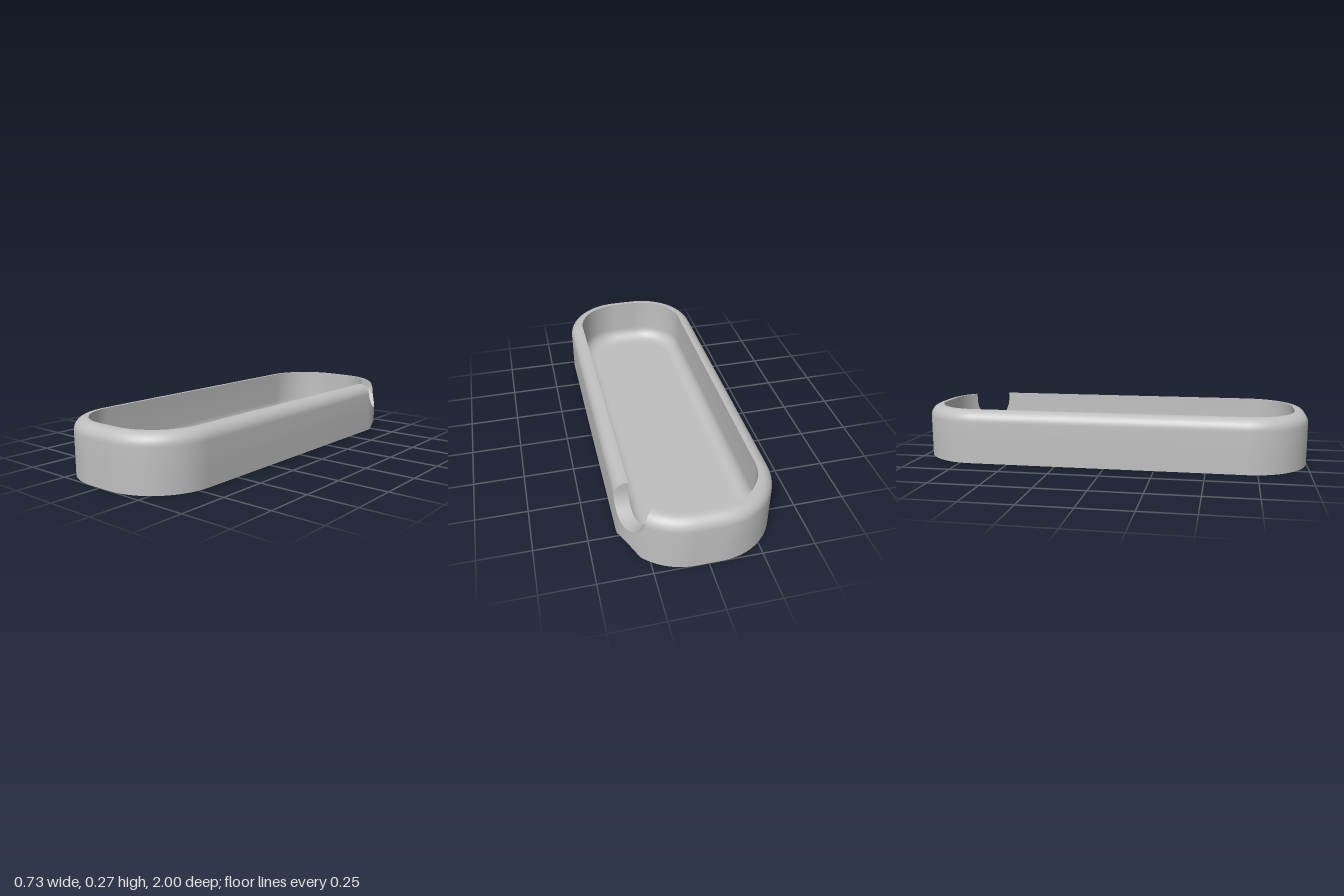
import * as THREE from 'three';
import { toCreasedNormals } from 'three/addons/utils/BufferGeometryUtils.js';

const HEIGHT = 0.27, RADIUS = 0.305, CX = 0.06, CZ = 0.695;
const WALL = 0.068, FLOOR = 0.025, RIM = 0.058, COVE = 0.07;
const NOTCH = 24, NOTCH_HALF = 23, ARCH_HALF = 17;

// Stations around the rounded outline: corner number and angle in degrees.
function outlineStations() {
  const stations = [];
  const add = (corner, a) => stations.push({ corner, a });
  add(0, 0);
  add(0, NOTCH - NOTCH_HALF - 0.1);
  for (let i = 0; i <= 32; i++) add(0, NOTCH - NOTCH_HALF * Math.cos(Math.PI * i / 32));
  add(0, NOTCH + NOTCH_HALF + 0.1);
  for (let a = 51; a <= 90; a += 3) add(0, a);
  for (let corner = 1; corner < 4; corner++) {
    for (let a = 0; a <= 90; a += 3) add(corner, corner * 90 + a);
  }
  return stations;
}

// Height of the wall top, cut by the round notch in the back left corner.
function topLimit(a) {
  const s = (a - NOTCH) / NOTCH_HALF;
  return Math.abs(s) > 1.0001 ? HEIGHT : 0.24 - 0.12 * Math.sqrt(Math.max(0, 1 - s * s));
}

// Height of the shallow finger arch under the same corner.
function archHeight(a) {
  const s = (a - NOTCH - 0.5) / ARCH_HALF;
  return 0.032 * Math.max(0, 1 - s * s);
}

// Wall section as [inward offset, height], from the underside over the rim to the floor.
function section(a) {
  const top = topLimit(a), arch = archHeight(a);
  const pts = [[0.09, 0], [0.06, 0], [0.06, arch], [0, arch], [0, 0.1]];
  for (let i = 0; i <= 8; i++) {
    const t = i / 8 * Math.PI / 2;
    pts.push([RIM * (1 - Math.cos(t)), HEIGHT - RIM + RIM * Math.sin(t)]);
  }
  pts.push([WALL, HEIGHT]);
  for (let i = 0; i <= 8; i++) {
    const t = i / 8 * Math.PI / 2;
    pts.push([WALL + COVE * (1 - Math.cos(t)), FLOOR + COVE * (1 - Math.sin(t))]);
  }
  pts.push([0.15, FLOOR]);
  return pts.map(([d, y]) => [d, Math.min(y, top)]);
}

function trayGeometry() {
  const signs = [[1, -1], [-1, -1], [-1, 1], [1, 1]];
  const rings = outlineStations().map(({ corner, a }) => {
    const t = THREE.MathUtils.degToRad(a), [sx, sz] = signs[corner];
    const ring = section(corner === 0 ? a : 90).map(([d, y]) => new THREE.Vector3(
      sx * CX + (RADIUS - d) * Math.cos(t), y, sz * CZ - (RADIUS - d) * Math.sin(t)));
    // Close the underside and the floor at the middle.
    return [new THREE.Vector3(0, 0, 0), ...ring, new THREE.Vector3(0, FLOOR, 0)];
  });
  const pos = [];
  const triangle = (a, b, c) => {
    const area = b.clone().sub(a).cross(c.clone().sub(a)).length();
    if (area > 1e-10) for (const p of [a, b, c]) pos.push(p.x, p.y, p.z);
  };
  rings.forEach((ring, i) => {
    const next = rings[(i + 1) % rings.length];
    for (let j = 0; j < ring.length - 1; j++) {
      triangle(ring[j], next[j], next[j + 1]);
      triangle(ring[j], next[j + 1], ring[j + 1]);
    }
  });
  const geometry = new THREE.BufferGeometry();
  geometry.setAttribute('position', new THREE.Float32BufferAttribute(pos, 3));
  return toCreasedNormals(geometry, Math.PI / 6);
}

export function createModel() {
  const group = new THREE.Group();
  const grey = new THREE.MeshStandardMaterial({ color: 0xbfbfbf });
  grey.name = 'light grey';
  const tray = new THREE.Mesh(trayGeometry(), grey);
  tray.name = 'tray';
  group.add(tray);
  return group;
}
